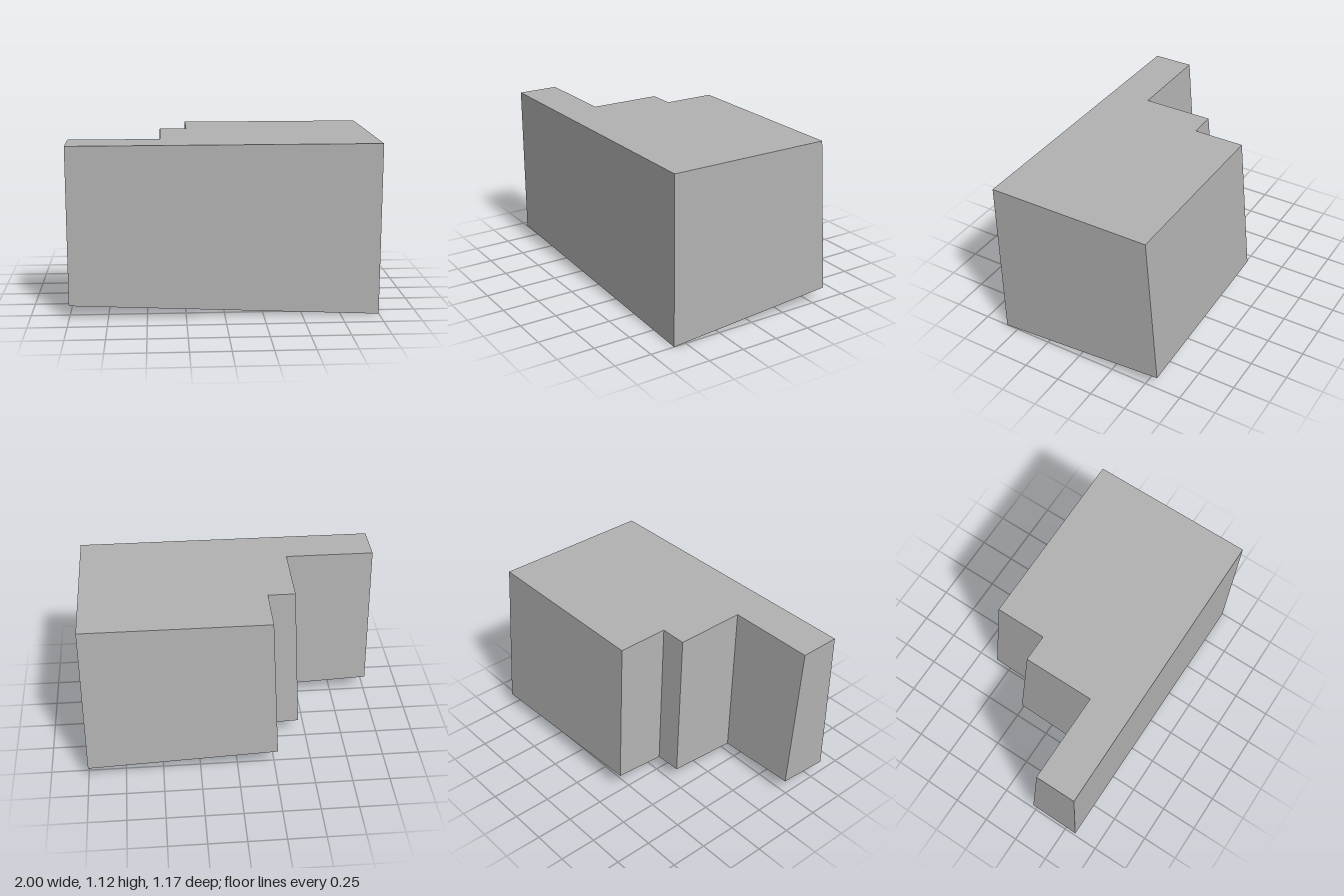
import * as THREE from 'three';

const TOP = 1.117, FRONT = 0.585;   // height of the flat top, z of the upright front
const SLOPE_X = 0.0435, SLOPE_Z = 0.0765; // tilt of the underside
const LEAN_X = 0.041, LEAN_Z = 0.0755;    // outward lean of the stepped walls

export function createModel() {
  const grey = new THREE.MeshStandardMaterial({ color: 0xb2b2b2, flatShading: true });
  grey.name = 'grey';

  // Stepped outline of the top face as x, z
  const outline = [
    [-1, FRONT], [1, FRONT], [1, -0.508], [-0.225, -0.508],
    [-0.225, -0.165], [-0.405, -0.165], [-0.405, 0.312], [-1, 0.312],
  ];
  const shape = new THREE.Shape(outline.map(([x, z]) => new THREE.Vector2(x, -z)));
  const geometry = new THREE.ExtrudeGeometry(shape, { depth: TOP, bevelEnabled: false });
  geometry.rotateX(-Math.PI / 2);

  // Lean the stepped walls outward and cut the base along a tilted plane
  const p = geometry.attributes.position;
  for (let i = 0; i < p.count; i++) {
    if (p.getY(i) > TOP / 2) continue;
    const x = p.getX(i), z = p.getZ(i);
    const leanX = Math.abs(x) < 0.99 ? LEAN_X : 0;
    const leanZ = z < FRONT - 0.01 ? LEAN_Z : 0;
    const rise = SLOPE_X * (1 - x) + SLOPE_Z * (FRONT - z);
    const drop = (TOP - rise) / (1 + SLOPE_X * leanX + SLOPE_Z * leanZ);
    p.setXYZ(i, x - leanX * drop, TOP - drop, z - leanZ * drop);
  }
  geometry.computeVertexNormals();

  const block = new THREE.Mesh(geometry, grey);
  block.name = 'steppedBlock';
  const group = new THREE.Group();
  group.name = 'steppedBlockModel';
  group.add(block);
  return group;
}
